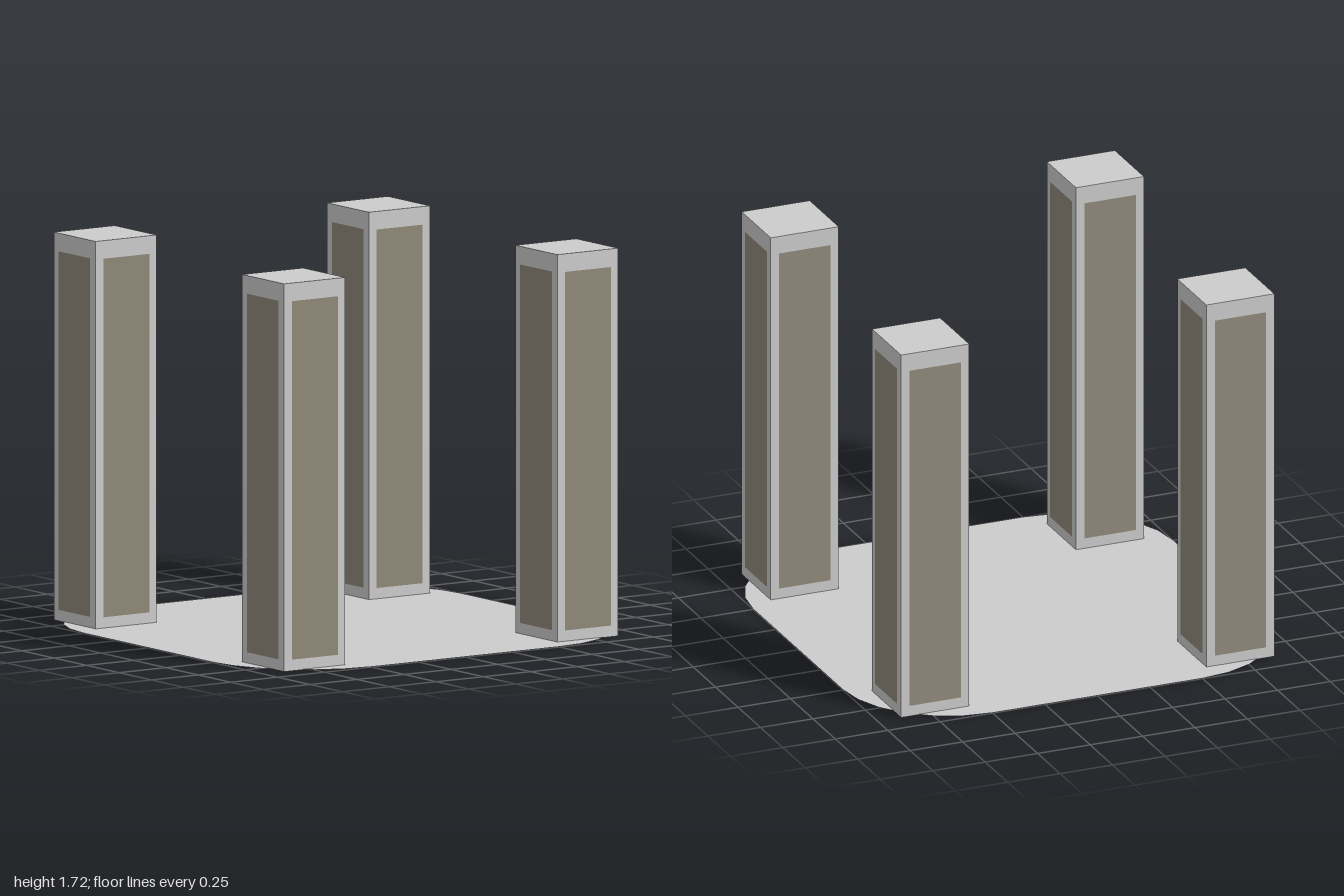
import * as THREE from 'three';

export function createModel() {
  const model = new THREE.Group();
  const grey = new THREE.MeshStandardMaterial({ color: 0xcccccc, side: THREE.DoubleSide });
  grey.name = 'light grey';
  const taupe = new THREE.MeshStandardMaterial({ color: 0x91897a });
  taupe.name = 'taupe';

  // Flat base: a square with rounded corners
  const radius = 0.5, steps = 6;
  const outline = [];
  [[1, 1], [-1, 1], [-1, -1], [1, -1]].forEach(([sx, sy], corner) => {
    for (let i = 0; i <= steps; i++) {
      const a = (corner + i / steps) * Math.PI / 2;
      outline.push(new THREE.Vector2(
        sx * (1 - radius) + radius * Math.cos(a),
        sy * (1 - radius) + radius * Math.sin(a)));
    }
  });
  const baseGeometry = new THREE.ShapeGeometry(new THREE.Shape(outline));
  baseGeometry.rotateX(-Math.PI / 2);
  const base = new THREE.Mesh(baseGeometry, grey);
  base.name = 'base';
  base.position.y = 0.002;
  model.add(base);

  // Four square pillars, each with an inset-looking panel on every side
  const width = 0.324, height = 1.72, offset = 0.727;
  const pillarGeometry = new THREE.BoxGeometry(width, height, width);
  const panelGeometry = new THREE.PlaneGeometry(0.245, 1.59);
  panelGeometry.translate(0, 0.845, width / 2 + 0.002);

  for (const [sx, sz, name] of [
    [1, 1, 'frontLeft'], [-1, 1, 'frontRight'],
    [1, -1, 'backLeft'], [-1, -1, 'backRight'],
  ]) {
    const group = new THREE.Group();
    group.name = name + 'Pillar';
    group.position.set(sx * offset, 0, sz * offset);

    const post = new THREE.Mesh(pillarGeometry, grey);
    post.name = 'post';
    post.position.y = height / 2;
    group.add(post);

    for (let i = 0; i < 4; i++) {
      const panel = new THREE.Mesh(panelGeometry, taupe);
      panel.name = 'sidePanel';
      panel.rotation.y = i * Math.PI / 2;
      group.add(panel);
    }
    model.add(group);
  }
  return model;
}
